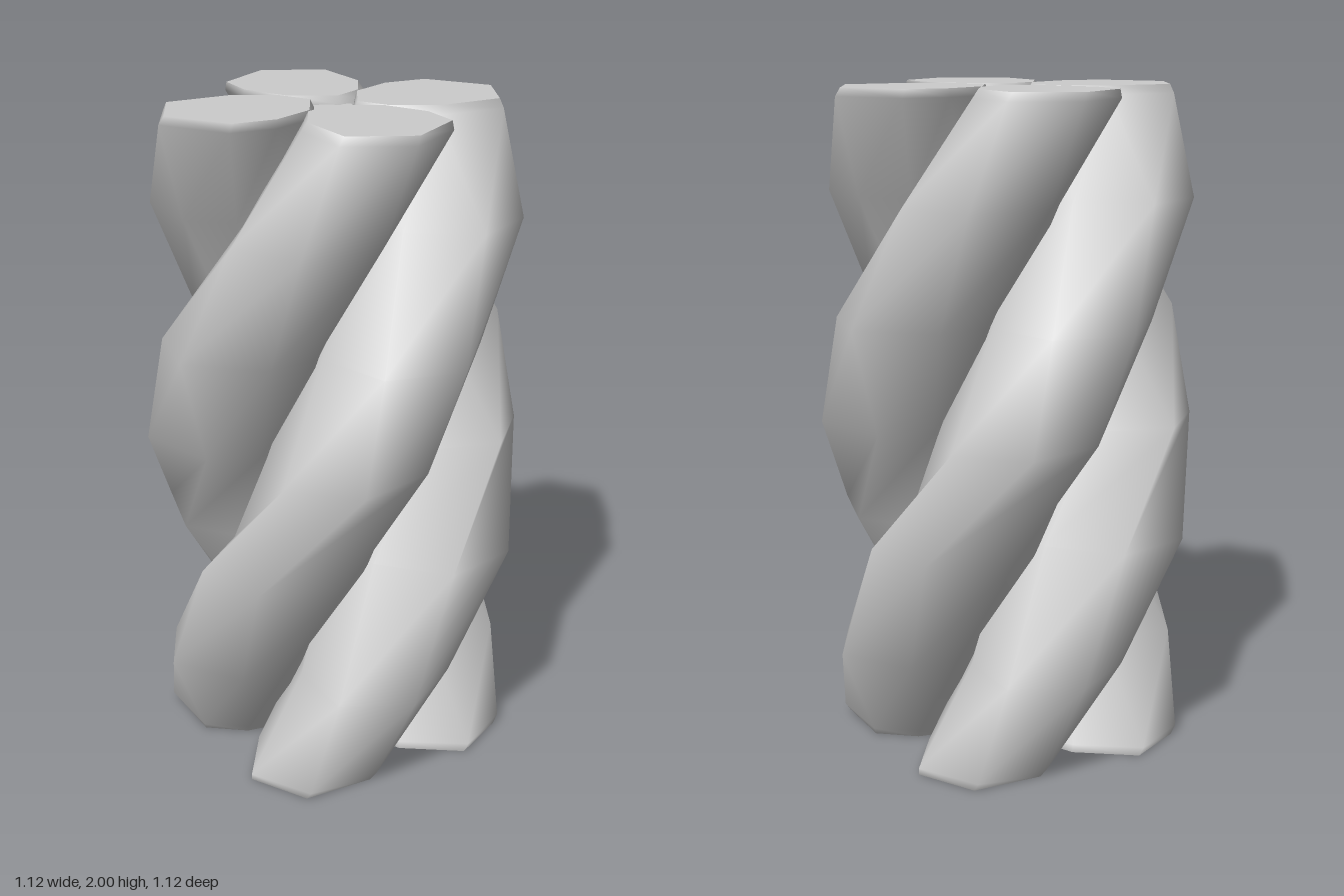
import * as THREE from 'three';

// Eight-sided strand section (x, z), counter-clockwise seen from above
const SECTION = [
  [0.45, 0.27], [0.425, 0.05], [0.305, -0.02], [0.15, -0.025],
  [0.02, 0.06], [0.02, 0.17], [0.10, 0.295], [0.285, 0.39],
];
const CENTRE = [0.235, 0.175];

// Small square section of the core that joins the strands
const CORE = [[0.09, 0], [0, -0.09], [-0.09, 0], [0, 0.09]];

// Rings from the ground up: height, twist in degrees, swelling about the section's centre
const RINGS = [
  [0, -107.4, 0.98], [0.025, -106, 1.03], [0.31, -73, 1.1], [0.68, -31.5, 1.19], [1, 0, 1.18],
  [1.33, 31.5, 1.18], [1.68, 72, 1.12], [1.975, 106, 1.02], [2, 107.4, 0.97],
];
const TOP_TWIST = 107.4;
const DENTED = 3; // band whose quads are split the other way, leaving dents

// Twisted solid: smooth sides through all rings, flat caps
function twistedGeometry(section, centre, ringData) {
  const n = section.length;
  const up = new THREE.Vector3(0, 1, 0);
  const rings = ringData.map(([y, twist, swell]) => section.map(([x, z]) => new THREE.Vector3(
    centre[0] + (x - centre[0]) * swell, y, centre[1] + (z - centre[1]) * swell,
  ).applyAxisAngle(up, THREE.MathUtils.degToRad(twist - TOP_TWIST))));
  const points = rings.flat();
  const index = [];

  for (let r = 0; r < rings.length - 1; r++) {
    for (let i = 0; i < n; i++) {
      const a = r * n + i, b = r * n + (i + 1) % n;
      if (r === DENTED) index.push(a, b, b + n, a, b + n, a + n);
      else index.push(a, b, a + n, b, b + n, a + n);
    }
  }

  // End caps with their own vertices
  for (const [ring, top] of [[rings[0], false], [rings[rings.length - 1], true]]) {
    const start = points.length;
    points.push(...ring);
    for (let i = 1; i < n - 1; i++) {
      if (top) index.push(start, start + i, start + i + 1);
      else index.push(start, start + i + 1, start + i);
    }
  }

  const geometry = new THREE.BufferGeometry().setFromPoints(points);
  geometry.setIndex(index);
  geometry.computeVertexNormals();
  return geometry;
}

export function createModel() {
  const group = new THREE.Group();
  group.name = 'twistedColumn';
  const material = new THREE.MeshStandardMaterial({ color: 0xcccccc });

  // Four equal strands wound around the upright axis
  const strandGeometry = twistedGeometry(SECTION, CENTRE, RINGS);
  for (let k = 0; k < 4; k++) {
    const strand = new THREE.Mesh(strandGeometry, material);
    strand.name = `strand${k + 1}`;
    strand.rotation.y = k * Math.PI / 2;
    group.add(strand);
  }

  // Core filling the middle, set just below the strand ends
  const coreRings = RINGS.map(([y, twist]) => [THREE.MathUtils.clamp(y, 0.015, 1.985), twist, 1]).slice(1, -1);
  const core = new THREE.Mesh(twistedGeometry(CORE, [0, 0], coreRings), material);
  core.name = 'core';
  group.add(core);
  return group;
}
